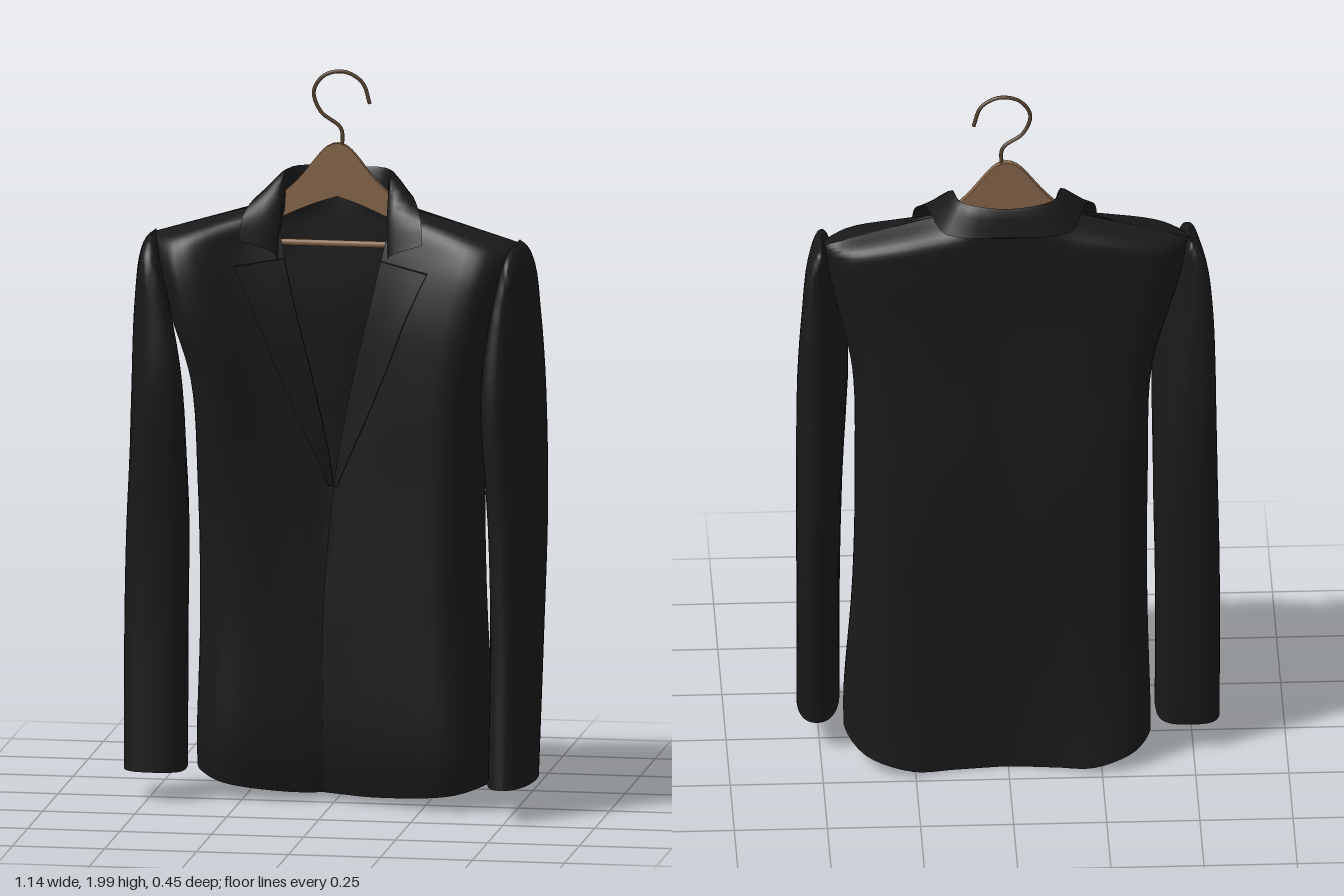
import * as THREE from 'three';
import { mergeVertices, toCreasedNormals } from 'three/addons/utils/BufferGeometryUtils.js';

const V = (x, y, z) => new THREE.Vector3(x, y, z);
const lerp = THREE.MathUtils.lerp;

// Surface from rows of points
function gridGeometry(rows, crease = 1) {
  const w = rows[0].length, index = [];
  for (let j = 0; j < rows.length - 1; j++) {
    for (let i = 0; i < w - 1; i++) {
      const a = j * w + i, b = a + 1, c = a + w, d = c + 1;
      index.push(a, b, d, a, d, c);
    }
  }
  const geo = new THREE.BufferGeometry().setFromPoints(rows.flat());
  geo.setIndex(index);
  return toCreasedNormals(mergeVertices(geo, 1e-4), crease);
}

// Smooth point on a loft through cross-sections; u runs along a section, v across them
function loftPoint(sections, u, v, closed = false) {
  const across = sections.map(s => new THREE.CatmullRomCurve3(s, closed).getPoint(u));
  return new THREE.CatmullRomCurve3(across).getPoint(v);
}

function loft(sections, nu, nv, closed = false, crease = 1) {
  const rows = [];
  for (let j = 0; j <= nv; j++) {
    const row = [];
    for (let i = 0; i <= nu; i++) row.push(loftPoint(sections, i / nu, j / nv, closed));
    rows.push(row);
  }
  return gridGeometry(rows, crease);
}

// Torso stations from hem to shoulder: y front, side, back | x opening, side |
// z opening, mid, outer front, side, outer back, mid back, inner back, centre back
const TORSO = [
  [0.03, 0.08, 0.01, 0, 0.435, -0.04, 0.03, 0.09, -0.02, -0.19, -0.225, -0.195, -0.18],
  [0.14, 0.16, 0.14, 0, 0.435, -0.01, 0.06, 0.115, 0, -0.18, -0.21, -0.19, -0.175],
  [0.5, 0.5, 0.5, 0, 0.412, 0, 0.06, 0.11, -0.01, -0.165, -0.19, -0.185, -0.175],
  [0.87, 0.87, 0.87, 0, 0.405, 0, 0.06, 0.105, -0.01, -0.15, -0.18, -0.18, -0.17],
  [1.15, 1.15, 1.15, 0.05, 0.412, 0.015, 0.07, 0.11, 0, -0.13, -0.15, -0.15, -0.145],
  [1.36, 1.34, 1.35, 0.1, 0.452, 0.025, 0.075, 0.11, 0, -0.11, -0.135, -0.135, -0.13],
  [1.54, 1.47, 1.54, 0.14, 0.486, 0.01, 0.05, 0.09, 0, -0.1, -0.13, -0.135, -0.135],
  [1.62, 1.525, 1.63, 0.155, 0.496, -0.02, 0.02, 0.05, -0.01, -0.09, -0.12, -0.125, -0.14],
  [1.645, 1.545, 1.69, 0.16, 0.5, -0.06, -0.055, -0.05, -0.045, -0.045, -0.045, -0.05, -0.15],
];
// The right side hangs narrower, flatter and further back
const RIGHT_NARROW = [0.05, 0.05, 0.035, 0.025, 0.02, 0.005, 0, 0, 0];
const RIGHT_MID = [0.045, 0.05, 0.045, 0.04, 0.04, 0.035, 0.02, 0, 0];
const RIGHT_OUT = [0.09, 0.095, 0.09, 0.06, 0.02, 0, 0, 0, 0];

// Half section from the front opening round to the centre back; s is the side
function halfSection(st, k, s) {
  const [yF, yS, yB, x0, x1, zIn, zMid, zOut, zS, zBo, zBm, zBi, zBc] = st;
  const right = s < 0 ? 1 : 0;
  const xIn = k < 3 ? (right ? -0.01 : -0.03) : x0;
  const xS = x1 - right * RIGHT_NARROW[k];
  const drop = right * RIGHT_OUT[k];
  // the hem stays low and lifts only near the side seam
  const y = (from, t) => lerp(from, yS, k === 0 ? t ** 3 : t);
  const p = (x, h, z) => V(s * x, h, z);
  return [
    p(xIn, yF, zIn + (k < 4 ? s * 0.006 : 0)),
    p(lerp(xIn, xS, 0.35), y(yF, 0.35), zMid - right * RIGHT_MID[k]),
    p(lerp(xIn, xS, 0.8), y(yF, 0.8), zOut - drop),
    p(xS, yS, zS - drop * 0.8),
    p(xS * 0.88, y(yB, 0.88), zBo - drop * 0.1),
    p(xS * 0.6, y(yB, 0.6), zBm),
    p(xS * 0.32, y(yB, 0.32), zBi),
    p(0, yB, zBc),
  ];
}

// Lapel laid over the front, from the break point up to the notch
function lapelGeometry(torso, s) {
  const stops = [[3.02, 0.012], [4, 0.13], [5, 0.21], [5.72, 0.265]];
  const edge = new THREE.CatmullRomCurve3(stops.map(([v, x]) => V(v, x, 0)));
  const at = (k, v) => loftPoint(torso, s > 0 ? k / 14 : 1 - k / 14, v / (TORSO.length - 1));
  const rows = [], nv = 12, nu = 6;
  for (let j = 0; j <= nv + 1; j++) {
    const e = edge.getPoint(Math.min(j / nv, 1));
    let lo = 0, hi = 2.5;
    for (let n = 0; n < 16; n++) {
      const m = (lo + hi) / 2;
      if (at(m, e.x).x * s < e.y) lo = m; else hi = m;
    }
    const row = [];
    for (let i = 0; i <= nu + 1; i++) {
      const t = Math.min(i / nu, 1);
      const p = at(lo * t, e.x);
      // last row and column turn back down to the cloth as a rim
      p.z += i > nu || j > nv ? -0.002 : 0.006 + 0.01 * t;
      row.push(p);
    }
    rows.push(row);
  }
  return gridGeometry(rows, 0.7);
}

// Sleeve stations from cuff to shoulder: y, centre x, half width, centre z, half depth, forward lean inward
const LEFT_SLEEVE = [
  [0.1, 0.5, 0.058, 0.075, 0.155, 0.06], [0.5, 0.502, 0.058, 0.02, 0.17, 0.08],
  [0.8, 0.5, 0.06, -0.002, 0.182, 0.12], [1.15, 0.49, 0.062, 0.015, 0.165, 0.2],
  [1.35, 0.494, 0.046, 0.01, 0.14, 0.2], [1.48, 0.5, 0.03, 0.005, 0.115, 0.15],
  [1.53, 0.497, 0.018, -0.01, 0.085, 0.08], [1.55, 0.494, 0, -0.03, 0.04, 0],
];
const RIGHT_SLEEVE = [
  [0.09, 0.487, 0.085, -0.02, 0.095, 0.06], [0.5, 0.487, 0.085, -0.03, 0.1, 0.06],
  [0.8, 0.482, 0.083, -0.025, 0.11, 0.1], [1.15, 0.48, 0.066, 0.005, 0.13, 0.25],
  [1.35, 0.492, 0.046, 0.005, 0.12, 0.25], [1.48, 0.5, 0.03, 0, 0.105, 0.15],
  [1.53, 0.497, 0.018, -0.01, 0.08, 0.08], [1.55, 0.494, 0, -0.03, 0.04, 0],
];

// Rounded-box rings; a lower power is squarer
function sleeveGeometry(stations, s, power) {
  const round = c => Math.sign(c) * Math.abs(c) ** power;
  const sections = stations.map(([y, cx, a, cz, b, lean]) => {
    const ring = [];
    for (let i = 0; i < 16; i++) {
      const t = i / 16 * Math.PI * 2;
      const dz = b * round(Math.sin(t));
      ring.push(V(s * (cx + a * round(Math.cos(t)) - lean * dz), y, cz + dz));
    }
    return ring;
  });
  return loft(sections, 32, 28, true, 1.2);
}

// Collar rows for one side, front to back: inner base, fold, outer edge
const COLLAR = [
  [V(0.15, 1.48, 0.02), V(0.155, 1.51, 0.037), V(0.25, 1.55, 0.065)],
  [V(0.15, 1.55, -0.02), V(0.15, 1.63, 0.005), V(0.242, 1.61, 0.035)],
  [V(0.14, 1.62, -0.06), V(0.145, 1.71, -0.05), V(0.212, 1.655, -0.045)],
  [V(0.11, 1.62, -0.13), V(0.12, 1.72, -0.14), V(0.165, 1.64, -0.172)],
  [V(0, 1.61, -0.145), V(0, 1.715, -0.17), V(0, 1.64, -0.192)],
];

// Wooden hanger body: peaked centre with sloping arms
function hangerGeometry() {
  const shape = new THREE.Shape();
  shape.moveTo(0, 1.8);
  shape.bezierCurveTo(0.05, 1.8, 0.07, 1.72, 0.15, 1.66);
  shape.quadraticCurveTo(0.26, 1.56, 0.38, 1.49);
  shape.lineTo(0.37, 1.46);
  shape.quadraticCurveTo(0.16, 1.61, 0, 1.655);
  shape.quadraticCurveTo(-0.16, 1.61, -0.37, 1.46);
  shape.lineTo(-0.38, 1.49);
  shape.quadraticCurveTo(-0.26, 1.56, -0.15, 1.66);
  shape.bezierCurveTo(-0.07, 1.72, -0.05, 1.8, 0, 1.8);
  const geo = new THREE.ExtrudeGeometry(shape, { depth: 0.018, bevelEnabled: false, curveSegments: 10 });
  return geo.translate(0, 0, -0.07);
}

export function createModel() {
  const group = new THREE.Group();
  group.name = 'jacketOnHanger';
  const cloth = new THREE.MeshStandardMaterial({ name: 'black cloth', color: 0x191919, side: THREE.DoubleSide });
  const wood = new THREE.MeshStandardMaterial({ name: 'brown wood', color: 0x86664b });
  const metal = new THREE.MeshStandardMaterial({ name: 'dark bronze', color: 0x56432f });
  const add = (name, geo, mat) => {
    const mesh = new THREE.Mesh(geo, mat);
    mesh.name = name;
    group.add(mesh);
    return mesh;
  };

  // Torso, open at the front, neck and hem
  const torso = TORSO.map((st, k) =>
    [...halfSection(st, k, 1), ...halfSection(st, k, -1).reverse().slice(1)]);
  add('torso', loft(torso, 70, 48, false, 1.2), cloth);

  // Lapels and sleeves
  for (const [side, s, stations, power] of [['left', 1, LEFT_SLEEVE, 0.9], ['right', -1, RIGHT_SLEEVE, 0.65]]) {
    add(side + 'Lapel', lapelGeometry(torso, s), cloth);
    add(side + 'Sleeve', sleeveGeometry(stations, s, power), cloth);
  }

  // Folded collar round the neck
  const mirrored = COLLAR.slice(0, 4).reverse().map(row => row.map(p => V(-p.x, p.y, p.z)));
  add('collar', loft([...COLLAR, ...mirrored], 8, 32, false, 0.9), cloth);

  // Hanger with trouser bar and wire hook
  add('hangerBody', hangerGeometry(), wood);
  const bar = add('hangerBar', new THREE.CylinderGeometry(0.009, 0.009, 0.72, 10), wood);
  bar.rotation.z = Math.PI / 2;
  bar.position.set(0, 1.52, -0.088);
  const hook = new THREE.CatmullRomCurve3([
    V(0.012, 1.78, -0.058), V(0.01, 1.84, -0.058), V(-0.045, 1.885, -0.058), V(-0.064, 1.94, -0.058),
    V(-0.035, 1.984, -0.058), V(0.02, 1.995, -0.058), V(0.068, 1.967, -0.058), V(0.088, 1.91, -0.058),
  ]);
  add('hangerHook', new THREE.TubeGeometry(hook, 48, 0.0052, 8), metal);

  return group;
}
